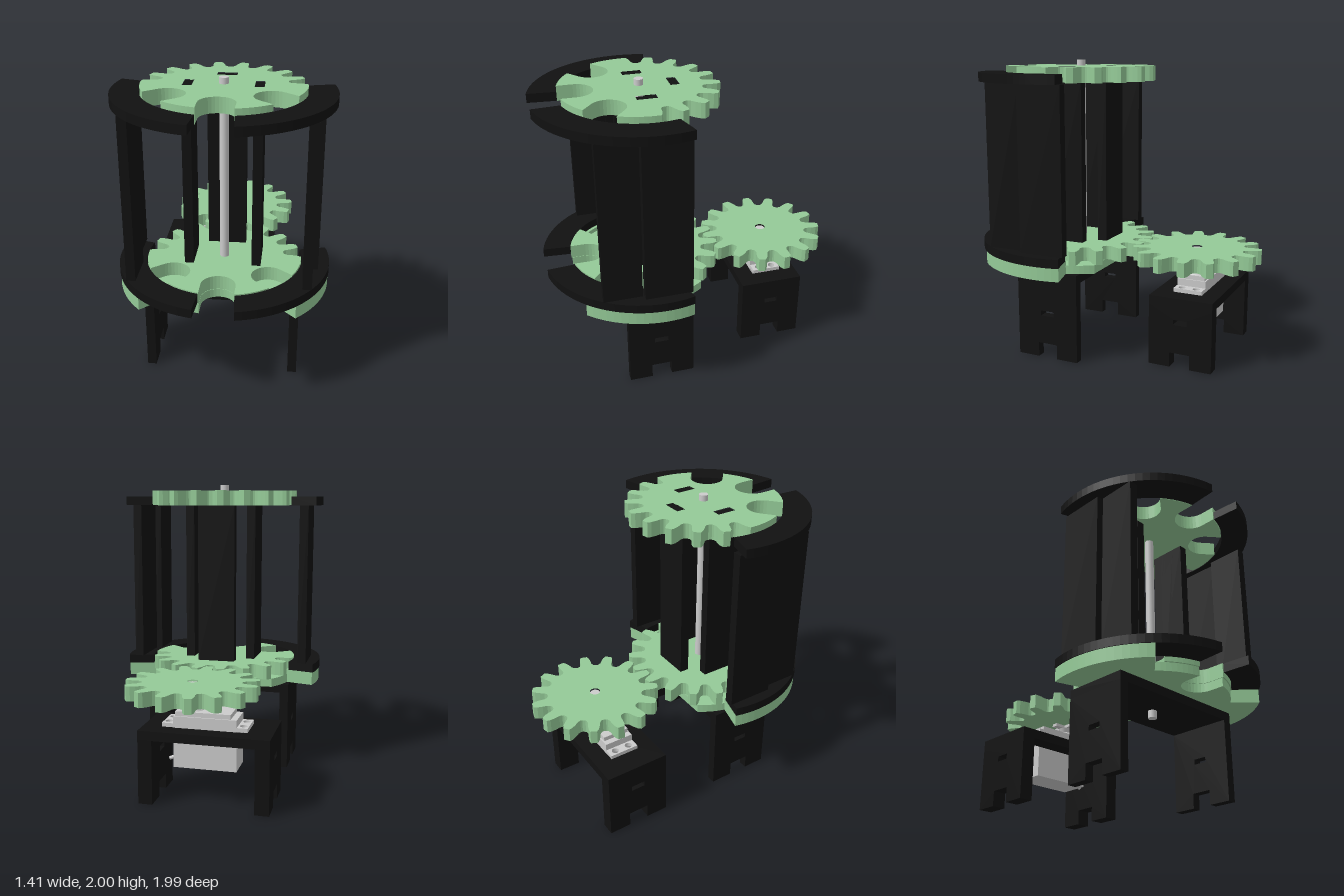
import * as THREE from 'three';

const mat = (color) => new THREE.MeshStandardMaterial({ color, flatShading: true });
const GREEN = mat(0x94ca97), BLACK = mat(0x111111), GREY = mat(0xcccccc);
const CZ = 0.305; // z of the carousel axis
const MZ = -0.57; // z of the motor axis
const rad = THREE.MathUtils.degToRad;
// Plan outlines: angle t runs clockwise from the back, shape y points to the back
const polar = (r, t) => new THREE.Vector2(r * Math.sin(rad(t)), r * Math.cos(rad(t)));

function arc(r, a, b) {
  const n = Math.max(2, Math.ceil(Math.abs(b - a) / 4));
  return Array.from({ length: n + 1 }, (_, i) => polar(r, a + ((b - a) * i) / n));
}

// One gear tooth centred on angle t
function tooth(root, tip, pitch, t) {
  const h = tip - root;
  const half = [[0.12, 1], [0.19, 0.8], [0.24, 0.5], [0.27, 0.22], [0.34, 0.06], [0.42, 0]];
  return [...half.slice().reverse().map(([f, k]) => polar(root + k * h, t - f * pitch)),
    ...half.map(([f, k]) => polar(root + k * h, t + f * pitch))];
}

// U-shaped slot cut in from the rim
function slot(R, d, w, t) {
  const u = polar(1, t), v = polar(1, t + 90), out = [];
  const add = (a, b) => out.push(new THREE.Vector2(u.x * a + v.x * b, u.y * a + v.y * b));
  const h = Math.sqrt(R * R - w * w);
  add(h, -w);
  for (let i = 0; i <= 16; i++) {
    const a = (Math.PI * i) / 16;
    add(d - w * Math.sin(a), -w * Math.cos(a));
  }
  add(h, w);
  return out;
}

function rectHole(x, y, w, h) {
  return new THREE.Path([[-1, -1], [-1, 1], [1, 1], [1, -1]].map(([a, b]) =>
    new THREE.Vector2(x + (a * w) / 2, y + (b * h) / 2)));
}

// Horizontal plate from a plan outline
function plate(parent, name, pts, y0, y1, z, material, holes = []) {
  const shape = new THREE.Shape(pts);
  shape.holes.push(...holes);
  const geo = new THREE.ExtrudeGeometry(shape, { depth: y1 - y0, bevelEnabled: false, curveSegments: 20 });
  geo.rotateX(-Math.PI / 2).translate(0, y0, z);
  return add(parent, name, geo, material);
}

function add(parent, name, geo, material) {
  const m = new THREE.Mesh(geo, material);
  m.name = name;
  parent.add(m);
  return m;
}

// Box given by its limits
function box(parent, name, x0, x1, y0, y1, z0, z1, material) {
  const g = new THREE.BoxGeometry(x1 - x0, y1 - y0, z1 - z0);
  g.translate((x0 + x1) / 2, (y0 + y1) / 2, (z0 + z1) / 2);
  return add(parent, name, g, material);
}

function cyl(parent, name, r0, r1, y0, y1, z, material, x = 0) {
  const g = new THREE.CylinderGeometry(r1, r0, y1 - y0, 24).translate(x, (y0 + y1) / 2, z);
  const m = material.clone();
  m.flatShading = false;
  return add(parent, name, g, m);
}

// Table: top plate with an optional opening, and two notched, slotted legs
function table(parent, name, x0, x1, h, thick, legT, z0, z1, opening) {
  const g = new THREE.Group();
  g.name = name;
  parent.add(g);
  const zc = (z0 + z1) / 2, d = (z1 - z0) / 2;
  const top = [[x0, -d], [x1, -d], [x1, d], [x0, d]].map((p) => new THREE.Vector2(...p));
  plate(g, 'tableTop', top, h - thick, h, zc, BLACK, opening ? [opening] : []);
  const n = 0.07;
  const legPts = [[-d, 0], [-n, 0], [-n, 0.1], [n, 0.1], [n, 0], [d, 0], [d, h - thick], [-d, h - thick]];
  for (const x of [x0, x1 - legT]) {
    const s = new THREE.Shape(legPts.map((p) => new THREE.Vector2(...p)));
    s.holes.push(rectHole(0, 0.315, 0.095, 0.035));
    const geo = new THREE.ExtrudeGeometry(s, { depth: legT, bevelEnabled: false });
    geo.rotateY(Math.PI / 2).translate(x, 0, zc);
    add(g, 'leg', geo, BLACK);
  }
}

export function createModel() {
  const root = new THREE.Group();
  root.name = 'gearedCarousel';

  // Carousel discs: teeth behind, three U slots in front, slots for the pillars
  const R = 0.517;
  const disc = [];
  for (let t = -90; t <= 90; t += 20) disc.push(...tooth(0.402, R, 20, t));
  disc.splice(0, 6, ...arc(R, -97, -92)); // outer flanks merge into the round rim
  disc.splice(-6, 6, ...arc(R, 92, 97));
  const sw = 12.5;
  [129, 180, 231].forEach((t, i) => {
    disc.push(...arc(R, i ? t - 51 + sw + 1 : 99, t - sw - 1), ...slot(R, 0.4, 0.112, t));
  });
  disc.push(...arc(R, 231 + sw + 1, 262));
  const pillarHoles = () => [rectHole(0, 0.222, 0.13, 0.06), rectHole(0.222, 0, 0.06, 0.13),
    rectHole(-0.222, 0, 0.06, 0.13)];
  plate(root, 'lowerDisc', disc, 0.67, 0.765, CZ, GREEN, pillarHoles());
  plate(root, 'upperDisc', disc, 1.86, 1.96, CZ, GREEN, pillarHoles());

  // Inner pillars with tabs through the discs
  const backZ = CZ - 0.222;
  box(root, 'backPillar', -0.13, 0.13, 0.765, 1.86, backZ - 0.032, backZ + 0.032, BLACK);
  box(root, 'backPillarTab', -0.065, 0.065, 0.672, 1.955, backZ - 0.03, backZ + 0.03, BLACK);
  for (const s of [-1, 1]) {
    const x = s * 0.222;
    box(root, 'sidePillar', x - 0.03, x + 0.03, 0.765, 1.86, CZ - 0.13, CZ + 0.13, BLACK);
    box(root, 'sidePillarTab', x - 0.03, x + 0.03, 0.672, 1.955, CZ - 0.065, CZ + 0.065, BLACK);
  }
  cyl(root, 'shaft', 0.03, 0.03, 0.5, 2.0, CZ, GREY);

  // Fixed base: round plate cut straight at the back, slotted at the front
  const base = [...arc(0.51, 53.5, 166), ...slot(0.51, 0.4, 0.112, 180), ...arc(0.51, 194, 306.5)];
  plate(root, 'basePlate', base, 0.61, 0.668, CZ, GREEN);

  // Outer guard: wings of the base, curved rails and flat walls on both sides
  for (const s of [-1, 1]) {
    const sector = (r0, r1, a, b0, b1) => [...arc(r1, s * a, s * b1), ...arc(r0, s * b0, s * a)];
    plate(root, 'baseWing', sector(0.5, 0.7, 75, 135, 135), 0.61, 0.7, CZ, GREEN);
    const rail = sector(0.522, 0.705, 105 - 30, 167.3, 169.5);
    plate(root, 'lowerRail', rail, 0.7, 0.76, CZ, BLACK);
    plate(root, 'upperRail', rail, 1.86, 1.92, CZ, BLACK);
    const wall = (xa, xb, z0, z1) =>
      box(root, 'outerWall', Math.min(s * xa, s * xb), Math.max(s * xa, s * xb), 0.76, 1.86, z0, z1, BLACK);
    wall(0.57, 0.63, 0.12, 0.436);
    wall(0.53, 0.59, 0.445, 0.7);
  }

  // Tables under the carousel and around the motor
  table(root, 'carouselTable', -0.515, 0.515, 0.61, 0.06, 0.06, 0.085, 0.535);
  table(root, 'motorTable', -0.54, 0.3, 0.48, 0.06, 0.092, -0.786, -0.346,
    rectHole(-0.1, 0, 0.54, 0.206));

  // Servo motor
  const servo = new THREE.Group();
  servo.name = 'servoMotor';
  root.add(servo);
  box(servo, 'body', -0.31, 0.1, 0.22, 0.555, MZ - 0.1, MZ + 0.1, GREY);
  const flange = [[-0.38, -0.1], [0.175, -0.1], [0.175, 0.1], [-0.38, 0.1]].map((p) => new THREE.Vector2(...p));
  const screwHoles = [-0.345, 0.14].flatMap((x) => [-0.05, 0.05].map((y) =>
    new THREE.Path().absarc(x, y, 0.024, 0, Math.PI * 2, true)));
  plate(servo, 'flange', flange, 0.482, 0.508, MZ, GREY, screwHoles);
  box(servo, 'gearCover', -0.27, 0.09, 0.555, 0.585, MZ - 0.09, MZ + 0.09, GREY);
  cyl(servo, 'outputBoss', 0.08, 0.06, 0.585, 0.61, MZ, GREY);
  cyl(servo, 'outputShaft', 0.03, 0.045, 0.61, 0.65, MZ, GREY);
  const cable = new THREE.CatmullRomCurve3([[0.09, 0.26], [0.12, 0.255], [0.155, 0.24]].map(([x, y]) =>
    new THREE.Vector3(x, y, MZ)));
  add(servo, 'cable', new THREE.TubeGeometry(cable, 8, 0.012, 8), GREY);
  // Cross-shaped horn
  box(servo, 'longArm', -0.025, 0.025, 0.65, 0.67, MZ - 0.2, MZ + 0.2, GREY);
  box(servo, 'shortArm', -0.1, 0.1, 0.65, 0.67, MZ - 0.022, MZ + 0.022, GREY);

  // Driving gear with its screw
  const gear = [];
  for (let i = 0; i < 15; i++) gear.push(...tooth(0.32, 0.432, 24, 180 + i * 24));
  plate(root, 'drivingGear', gear, 0.67, 0.765, MZ, GREEN,
    [new THREE.Path().absarc(0, 0, 0.035, 0, Math.PI * 2, true)]);
  cyl(root, 'gearScrew', 0.034, 0.034, 0.65, 0.755, MZ, GREY);

  return root;
}
